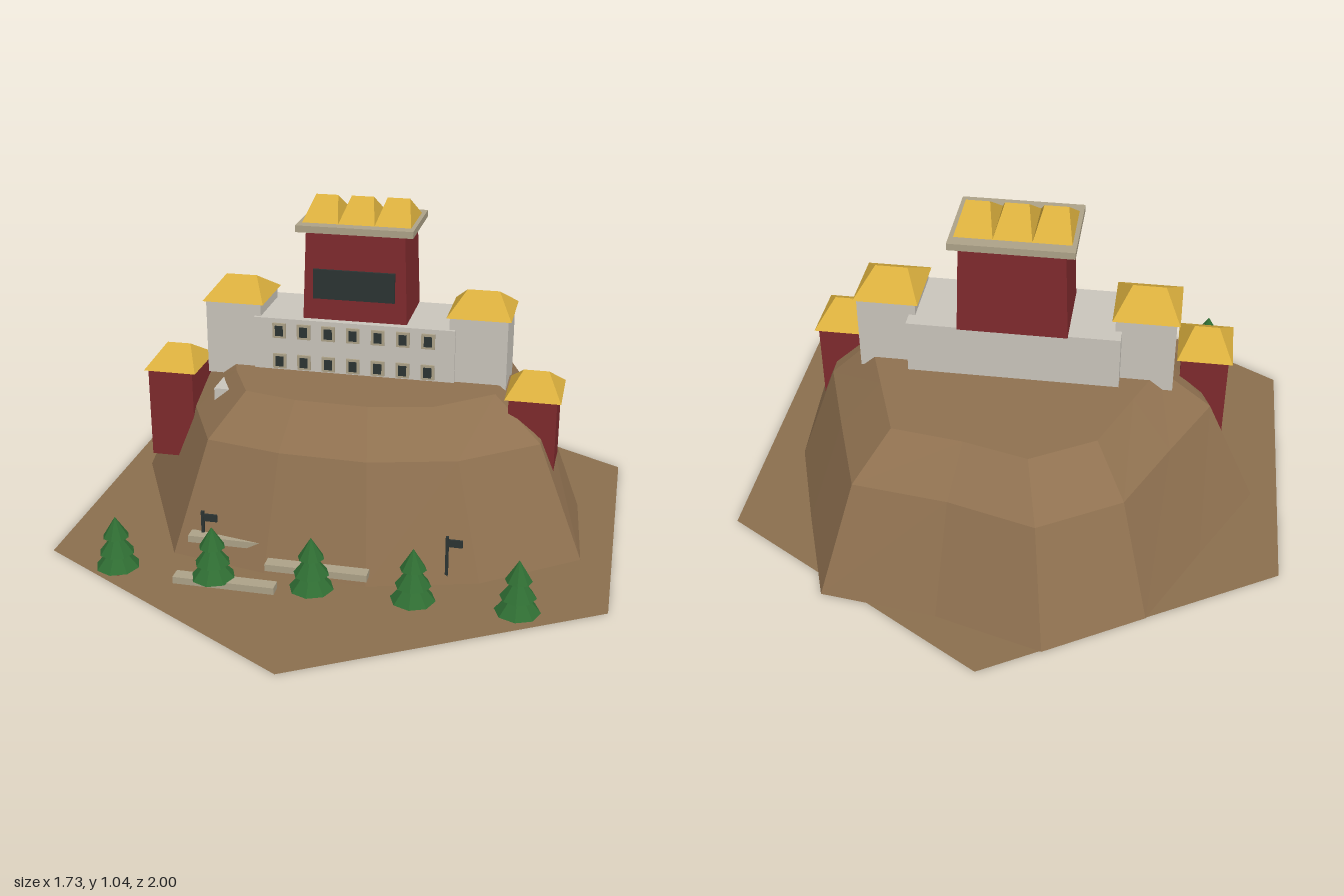
import * as THREE from 'three';

const mat = (name, color) => {
  const m = new THREE.MeshStandardMaterial({ color });
  m.name = name;
  return m;
};

export function createModel() {
  const root = new THREE.Group();
  root.name = 'hillFortress';

  const earth = mat('earth brown', 0x8b6f4e);
  earth.side = THREE.DoubleSide;
  const rock = mat('rock brown', 0x8f7150);
  const red = mat('dark red', 0x7f2a2d);
  const white = mat('whitewash', 0xcac5bc);
  const gold = mat('roof gold', 0xd9ae3d);
  const stone = mat('pale stone', 0xada288);
  const dark = mat('near black', 0x2b3433);
  const green = mat('pine green', 0x2f6d33);
  const bark = mat('bark brown', 0x5a4028);
  const flat = green;
  flat.flatShading = true;

  const add = (name, geo, material, x = 0, y = 0, z = 0, parent = root) => {
    const mesh = new THREE.Mesh(geo, material);
    mesh.name = name;
    mesh.position.set(x, y, z);
    parent.add(mesh);
    return mesh;
  };
  // Box standing on y, with its top narrowed by sx and sz
  const block = (name, material, w, h, d, x, y, z, sx = 1, sz = 1, parent = root) => {
    const geo = new THREE.BoxGeometry(w, h, d);
    const p = geo.attributes.position;
    for (let i = 0; i < p.count; i++) {
      if (p.getY(i) > 0) p.setXYZ(i, p.getX(i) * sx, p.getY(i), p.getZ(i) * sz);
    }
    geo.computeVertexNormals();
    return add(name, geo, material, x, y + h / 2, z, parent);
  };

  // Hexagonal ground
  add('ground', new THREE.CircleGeometry(1, 6, Math.PI / 2).rotateX(-Math.PI / 2), earth);

  // Faceted hill: irregular foot and rim, bulging halfway between
  const foot = [[0.77, 0.22], [0.48, 0.43], [0.15, 0.52], [-0.17, 0.51], [-0.48, 0.45], [-0.63, 0.15], [-0.78, -0.15],
    [-0.62, -0.45], [-0.47, -0.74], [-0.18, -0.91], [0.15, -0.82], [0.51, -0.78], [0.63, -0.46], [0.74, -0.15]];
  const rim = [[0.47, 0.08], [0.3, 0.22], [0.1, 0.265], [-0.13, 0.26], [-0.3, 0.22], [-0.38, 0.06], [-0.45, -0.14],
    [-0.38, -0.3], [-0.29, -0.51], [-0.1, -0.62], [0.1, -0.57], [0.32, -0.54], [0.4, -0.33], [0.48, -0.12]];
  const levels = [[0, 0.01], [0.49, 0.36], [1, 0.485]];
  const n = foot.length;
  const pos = [];
  const at = (level, i) => {
    const [t, y] = levels[level];
    const a = foot[i % n], b = rim[i % n];
    return [a[0] + (b[0] - a[0]) * t, y, a[1] + (b[1] - a[1]) * t];
  };
  for (let i = 0; i < n; i++) {
    for (let l = 0; l < 2; l++) {
      const a = at(l, i), b = at(l, i + 1), c = at(l + 1, i), d = at(l + 1, i + 1);
      pos.push(...a, ...c, ...b, ...b, ...c, ...d);
    }
    pos.push(0, 0.485, -0.15, ...at(2, i + 1), ...at(2, i));
  }
  const hill = new THREE.BufferGeometry();
  hill.setAttribute('position', new THREE.Float32BufferAttribute(pos, 3));
  hill.computeVertexNormals();
  add('hill', hill, rock);

  // White main hall with two rows of framed windows
  block('mainHall', white, 0.66, 0.2, 0.265, 0, 0.46, -0.117);
  for (const y of [0.515, 0.62]) {
    for (let i = -3; i <= 3; i++) {
      const x = i * 0.0815;
      add('windowFrame', new THREE.BoxGeometry(0.044, 0.05, 0.008), stone, x, y, 0.018);
      add('windowPane', new THREE.BoxGeometry(0.026, 0.034, 0.008), dark, x, y, 0.021);
    }
  }

  // Red keep, dark front panel, cornice and triple roof
  block('keep', red, 0.34, 0.295, 0.245, 0, 0.657, -0.132, 0.94, 0.94);
  add('keepPanel', new THREE.BoxGeometry(0.265, 0.097, 0.009), dark, 0, 0.783, 0.003);
  block('cornice', stone, 0.378, 0.022, 0.28, 0, 0.95, -0.132);
  for (const x of [-0.117, 0, 0.117]) {
    block('keepRoof', gold, 0.117, 0.07, 0.2, x, 0.972, -0.132, 0.62, 0);
  }

  // Side towers with hipped roofs, and low walls beside them
  for (const s of [-1, 1]) {
    block('whiteTower', white, 0.185, 0.25, 0.205, s * 0.402, 0.452, -0.098);
    block('whiteTowerRoof', gold, 0.205, 0.065, 0.222, s * 0.402, 0.7, -0.098, 0.5, 0);
    block('redTower', red, 0.15, 0.3, 0.195, s * 0.59, 0.185, 0.018);
    block('redTowerRoof', gold, 0.175, 0.066, 0.212, s * 0.59, 0.485, 0.018, 0.45, 0);
    block('sideWall', white, 0.065, 0.1, 0.15, s * 0.4, 0.35, 0.065);
  }

  // Zigzag stone steps at the front
  [[-0.265, 0.01, 0.605], [0, 0.04, 0.525], [-0.265, 0.07, 0.455]].forEach(([x, y, z]) =>
    block('step', stone, 0.315, 0.022, 0.042, x, y, z));

  // Flags on short poles
  for (const x of [-0.383, 0.382]) {
    block('flagPole', dark, 0.009, 0.155, 0.009, x, 0.01, 0.443);
    block('flag', dark, 0.045, 0.024, 0.006, x + 0.024, 0.132, 0.443);
  }

  // Row of pines: trunk and three tiers
  const tiers = [[0.068, 0.03, 0.08], [0.054, 0.077, 0.072], [0.04, 0.13, 0.065]];
  for (let i = -2; i <= 2; i++) {
    const tree = new THREE.Group();
    tree.name = 'pine';
    tree.position.set(i * 0.305, 0, 0.59);
    add('trunk', new THREE.CylinderGeometry(0.012, 0.014, 0.04, 6), bark, 0, 0.02, 0, tree);
    for (const [r, y, h] of tiers) {
      add('foliage', new THREE.ConeGeometry(r, h, 8), green, 0, y + h / 2, 0, tree);
    }
    root.add(tree);
  }
  return root;
}
